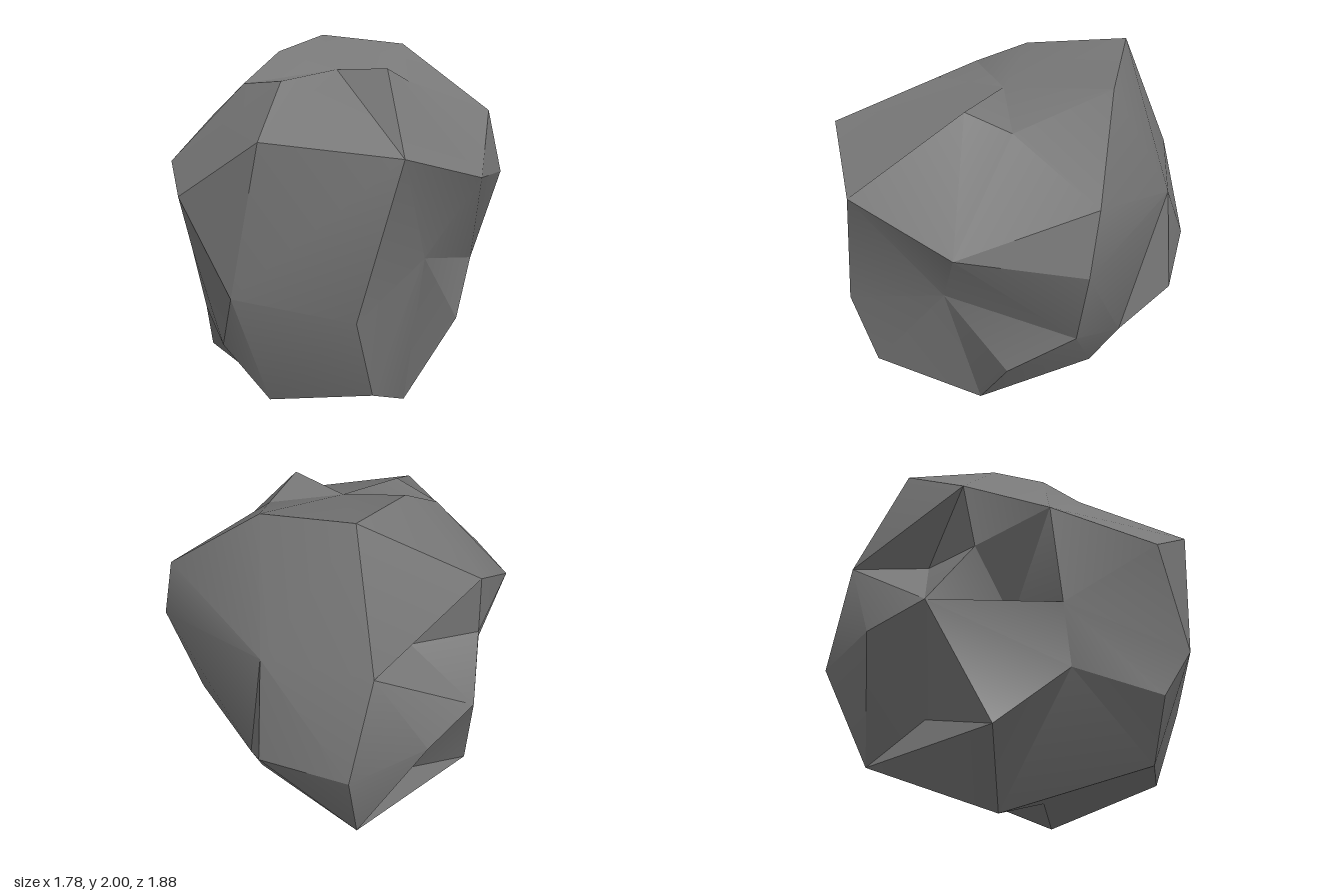
import * as THREE from 'three';
import { ConvexGeometry } from 'three/addons/geometries/ConvexGeometry.js';
import { toCreasedNormals } from 'three/addons/utils/BufferGeometryUtils.js';

// Corners of the boulder, grouped by side
const corners = [
  // crown: 0-7
  [-0.05, 2.0, -0.56], [0.38, 1.95, -0.35], [-0.32, 1.91, -0.12], [-0.03, 1.82, 0.08],
  [0.34, 1.76, 0.13], [0.2, 1.83, 0.33], [-0.33, 1.77, 0.35], [-0.51, 1.75, 0.11],
  // front: 8-14
  [0.2, 1.44, 0.92], [-0.46, 1.52, 0.89], [-0.02, 0.69, 0.94], [-0.59, 0.79, 0.82],
  [0.07, 0.31, 0.83], [-0.41, 0.25, 0.66], [-0.63, 0.53, 0.66],
  // +x side, with its notch: 15-22
  [0.83, 1.59, -0.15], [0.89, 1.26, -0.09], [0.65, 1.3, 0.5], [0.73, 0.78, -0.09],
  [0.59, 0.52, 0.23], [0.37, 0.9, 0.5], [0.48, 0.58, -0.41], [0.43, 0.36, -0.27],
  // -x side, with its ledge: 23-30
  [-0.89, 1.35, 0.05], [-0.83, 1.24, 0.6], [-0.72, 0.6, 0.18], [-0.7, 0.3, -0.19],
  [-0.68, 1.56, -0.34], [-0.7, 1.21, -0.28], [-0.56, 0.9, -0.07], [-0.79, 0.9, 0.13],
  // back: 31-39
  [-0.12, 1.34, -0.84], [0, 0.8, -0.94], [0.43, 0.77, -0.7], [0.4, 1.35, -0.66],
  [-0.06, 0.27, -0.71], [-0.66, 0.92, -0.51], [-0.33, 1.27, -0.46], [-0.4, 0.85, -0.76],
  [-0.3, 0.45, -0.45],
  // underside: 40-42
  [0.3, 0.11, 0.31], [-0.05, 0.14, 0.19], [-0.31, 0, -0.09],
].map((c) => new THREE.Vector3(...c));

// Ridges and creases that must run between two given corners
const ridges = [
  [18, 20], [20, 40], // notch
  [8, 11], // front
  [7, 3], [23, 6], [23, 9], [23, 6], [3, 9], [3, 8], [3, 9], // dip and shoulder of the crown
  [27, 31], [31, 36], [31, 38], [38, 35], [36, 39], [35, 26], // overhang and hollow at the back
  [36, 25], [36, 30], // ledge
  [21, 34], [21, 16], [21, 34], // hollow of the +x side
];

// Triangles of corner indices, as the corners are seen from the core
function connectCorners() {
  const core = new THREE.Vector3(0, 1, 0);
  const directions = corners.map((c) => c.clone().sub(core).normalize());
  const position = new ConvexGeometry(directions).attributes.position;
  const v = new THREE.Vector3();
  const triangles = [];
  for (let i = 0; i < position.count; i++) {
    v.fromBufferAttribute(position, i);
    let best = 0;
    directions.forEach((d, j) => {
      if (d.dot(v) > directions[best].dot(v)) best = j;
    });
    if (i % 3 === 0) triangles.push([]);
    triangles[triangles.length - 1].push(best);
  }
  return triangles;
}

// Turn the shared edge of two triangles so that it joins corners a and b
function joinCorners(triangles, a, b) {
  if (triangles.some((t) => t.includes(a) && t.includes(b))) return;
  for (const t of triangles.filter((t) => t.includes(a))) {
    const k = t.indexOf(a);
    const c = t[(k + 1) % 3];
    const d = t[(k + 2) % 3];
    const other = triangles.find((o) => o.includes(b) && o.includes(c) && o.includes(d));
    if (other) {
      triangles[triangles.indexOf(t)] = [a, c, b];
      triangles[triangles.indexOf(other)] = [a, b, d];
      return;
    }
  }
}

function boulderGeometry() {
  const triangles = connectCorners();
  for (const [a, b] of ridges) joinCorners(triangles, a, b);
  const geometry = new THREE.BufferGeometry().setFromPoints(triangles.flat().map((i) => corners[i]));
  return toCreasedNormals(geometry, 0.45);
}

export function createModel() {
  const group = new THREE.Group();
  group.name = 'rock';
  const stone = new THREE.MeshStandardMaterial({ color: 0x787878 });
  stone.name = 'stone grey';
  const boulder = new THREE.Mesh(boulderGeometry(), stone);
  boulder.name = 'boulder';
  group.add(boulder);
  return group;
}
